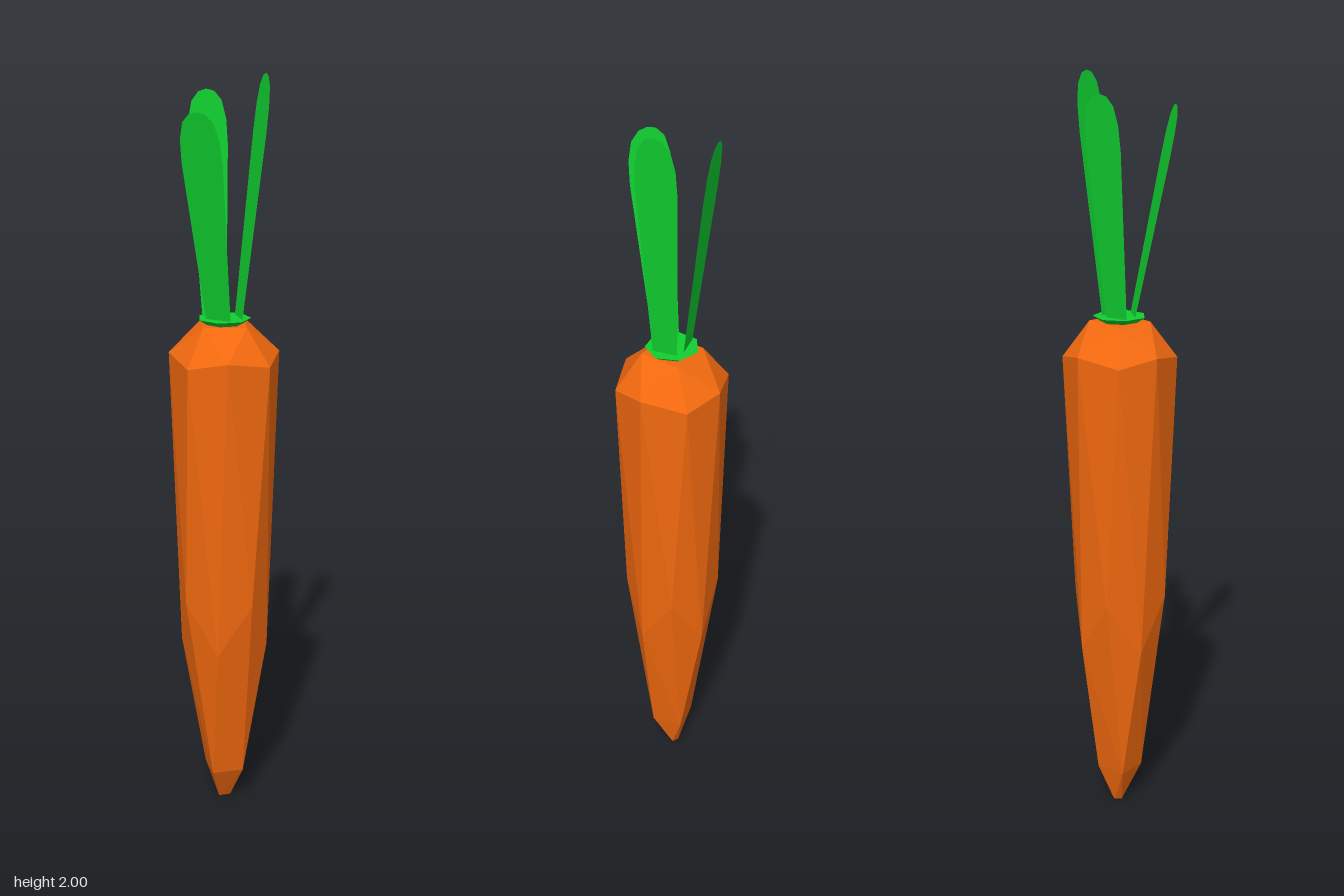
import * as THREE from 'three';
import { ConvexGeometry } from 'three/addons/geometries/ConvexGeometry.js';

const orange = new THREE.MeshStandardMaterial({ color: 0xf2690f, flatShading: true });
const green = new THREE.MeshStandardMaterial({ color: 0x10d030, flatShading: true, side: THREE.DoubleSide });

// Faceted root: one quarter of corners repeated four times, closed by a small tip
function makeRoot() {
  const quarter = [
    [0.04, 1.37, 0.068],   // top rim
    [-0.033, 1.295, 0.14], // shoulder, high corner
    [0.085, 1.275, 0.123], // shoulder, low corner
    [0.042, 0.62, 0.119],  // waist, high corner
    [-0.05, 0.48, 0.106],  // waist, low corner
    [0.041, 0.1, 0.044],   // lower end
  ];
  const points = [
    new THREE.Vector3(-0.012, 0, -0.008),
    new THREE.Vector3(0.02, 0, -0.008),
    new THREE.Vector3(0.004, 0, -0.02),
  ];
  for (const [px, y, pz] of quarter) {
    let x = px, z = pz;
    for (let i = 0; i < 4; i++) {
      points.push(new THREE.Vector3(x, y, z));
      [x, z] = [z, -x];
    }
  }
  const root = new THREE.Mesh(new ConvexGeometry(points), orange);
  root.name = 'root';
  return root;
}

// Flat blade, narrow at the base with a rounded tip; its outer side faces local +z
function makeLeaf(name, x, z, heading, tilt, length, width) {
  const half = [[0.31, 0], [0.5, 0.76], [0.48, 0.87], [0.38, 0.95], [0.2, 0.99]];
  const outline = [
    ...half.map(([u, v]) => new THREE.Vector2(u * width, v * length)),
    new THREE.Vector2(0, length),
    ...half.map(([u, v]) => new THREE.Vector2(-u * width, v * length)).reverse(),
  ];
  const leaf = new THREE.Mesh(new THREE.ShapeGeometry(new THREE.Shape(outline)), green);
  leaf.name = name;
  leaf.position.set(x, 1.38, z);
  leaf.rotation.set(tilt, heading, 0, 'YXZ');
  return leaf;
}

export function createModel() {
  const carrot = new THREE.Group();
  carrot.name = 'carrot';
  carrot.add(makeRoot());

  // Flared crown the leaves grow from
  const crown = new THREE.Mesh(new THREE.CylinderGeometry(0.07, 0.045, 0.018, 7), green);
  crown.name = 'crown';
  crown.position.y = 1.375;
  crown.rotation.y = 0.39;
  carrot.add(crown);

  carrot.add(
    makeLeaf('backLeaf', -0.015, -0.036, Math.PI, 0.124, 0.579, 0.105),
    makeLeaf('leftLeaf', 0.037, 0.006, Math.PI / 2, 0.114, 0.624, 0.105),
    makeLeaf('frontRightLeaf', -0.023, 0.025, -Math.PI / 4, 0.2, 0.551, 0.115),
  );
  return carrot;
}
